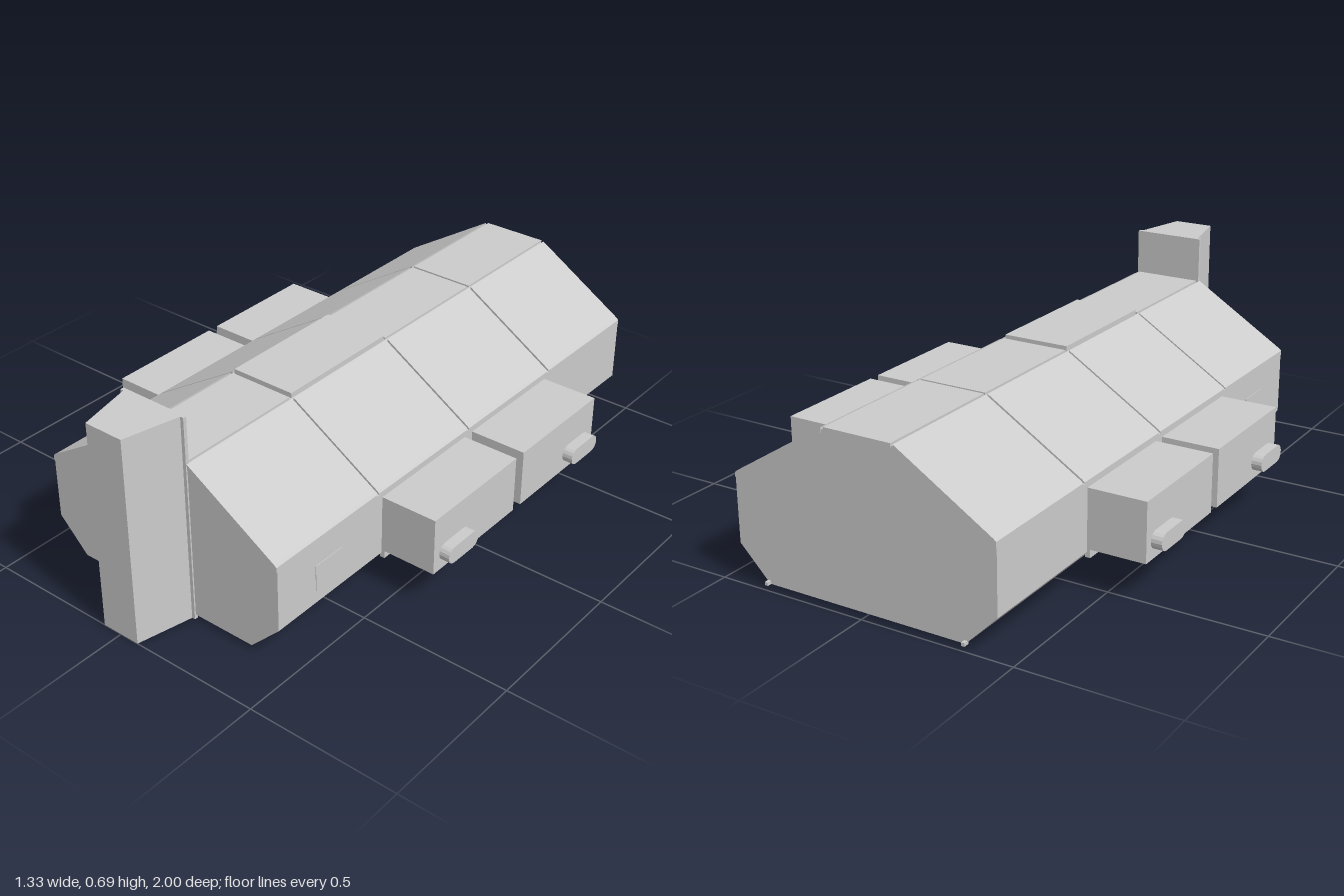
import * as THREE from 'three';

const material = new THREE.MeshStandardMaterial({ color: 0xcccccc, flatShading: true });

export function createModel() {
  const model = new THREE.Group();
  model.name = 'armouredPod';

  function add(name, geometry) {
    const mesh = new THREE.Mesh(geometry, material);
    mesh.name = name;
    model.add(mesh);
    return mesh;
  }

  // Box given by its limits on each axis
  function block(name, x0, x1, y0, y1, z0, z1) {
    const mesh = add(name, new THREE.BoxGeometry(Math.abs(x1 - x0), y1 - y0, z1 - z0));
    mesh.position.set((x0 + x1) / 2, (y0 + y1) / 2, (z0 + z1) / 2);
    return mesh;
  }

  // Cross-section in x and y, extruded from z0 to z1
  function prism(name, points, z0, z1) {
    const shape = new THREE.Shape(points.map(([x, y]) => new THREE.Vector2(x, y)));
    const geometry = new THREE.ExtrudeGeometry(shape, { depth: z1 - z0, bevelEnabled: false });
    return add(name, geometry.translate(0, 0, z0));
  }

  // Plan outline in x and z, extruded from y0 to y1
  function column(name, points, y0, y1) {
    const shape = new THREE.Shape(points.map(([x, z]) => new THREE.Vector2(x, -z)));
    const geometry = new THREE.ExtrudeGeometry(shape, { depth: y1 - y0, bevelEnabled: false });
    return add(name, geometry.rotateX(-Math.PI / 2).translate(0, y0, 0));
  }

  // Hull core, set just inside the roof panels
  const half = [[0.338, 0.015], [0.442, 0.12], [0.442, 0.335], [0.115, 0.538]];
  const mirrored = half.map(([x, y]) => [-x, y]).reverse();
  prism('hull', [...half, ...mirrored], -0.985, 0.812);

  // Roof panels divided by narrow seams
  const seams = [-0.987, -0.54, -0.087, 0.365, 0.815];
  for (let i = 0; i < 4; i++) {
    const z0 = seams[i] + (i ? 0.004 : 0);
    const z1 = seams[i + 1] - (i < 3 ? 0.004 : 0);
    const top = i === 2 ? 0.555 : 0.545;
    block('roofPanel', -0.112, 0.112, 0.53, top, z0, z1);
    for (const s of [-1, 1]) {
      prism('slopePanel', [
        [s * 0.442, 0.325], [s * 0.442, 0.341], [s * 0.434, 0.348],
        [s * 0.121, 0.543], [s * 0.121, 0.525],
      ], z0, z1);
    }
  }

  // Front pillar with its backing plate and foot
  column('frontPillar', [[-0.11, 0.812], [0.11, 0.812], [0.067, 1], [-0.067, 1]], 0, 0.695);
  block('pillarBackPlate', -0.12, 0.12, 0, 0.695, 0.805, 0.817);
  column('pillarFoot', [[-0.12, 0.81], [-0.06, 0.74], [0.06, 0.74], [0.12, 0.81]], 0, 0.02);

  for (const s of [-1, 1]) {
    // Side pods with mounting strips and rounded handles
    for (const [z0, z1, handleZ] of [[-0.52, -0.11, -0.42], [-0.07, 0.345, 0.245]]) {
      block('sidePod', s * 0.43, s * 0.632, 0.13, 0.32, z0, z1);
      for (const z of [z0 + 0.035, z1 - 0.035]) {
        block('podMount', s * 0.435, s * 0.452, 0.103, 0.25, z - 0.034, z + 0.034);
      }
      const capsule = new THREE.Shape();
      capsule.absarc(0.046, 0, 0.028, -Math.PI / 2, Math.PI / 2);
      capsule.absarc(-0.046, 0, 0.028, Math.PI / 2, Math.PI * 1.5);
      const handle = add('podHandle', new THREE.ExtrudeGeometry(capsule, {
        depth: 0.045, bevelEnabled: false, curveSegments: 4,
      }));
      handle.rotation.y = s * Math.PI / 2;
      handle.position.set(s * 0.622, 0.187, handleZ);
    }

    // Ribs across the lower chamfer
    for (const [z0, z1] of [[-0.236, -0.134], [-0.037, 0.064]]) {
      prism('chamferRib', [
        [s * 0.335, 0.015], [s * 0.348, 0.005], [s * 0.454, 0.106],
        [s * 0.454, 0.125], [s * 0.438, 0.125],
      ], z0, z1);
    }

    // Side hatch and rear pins
    block('sideHatch', s * 0.43, s * 0.444, 0.163, 0.25, 0.535, 0.65);
    block('rearPin', s * 0.335, s * 0.345, 0.015, 0.026, -1, -0.98);
  }

  return model;
}
